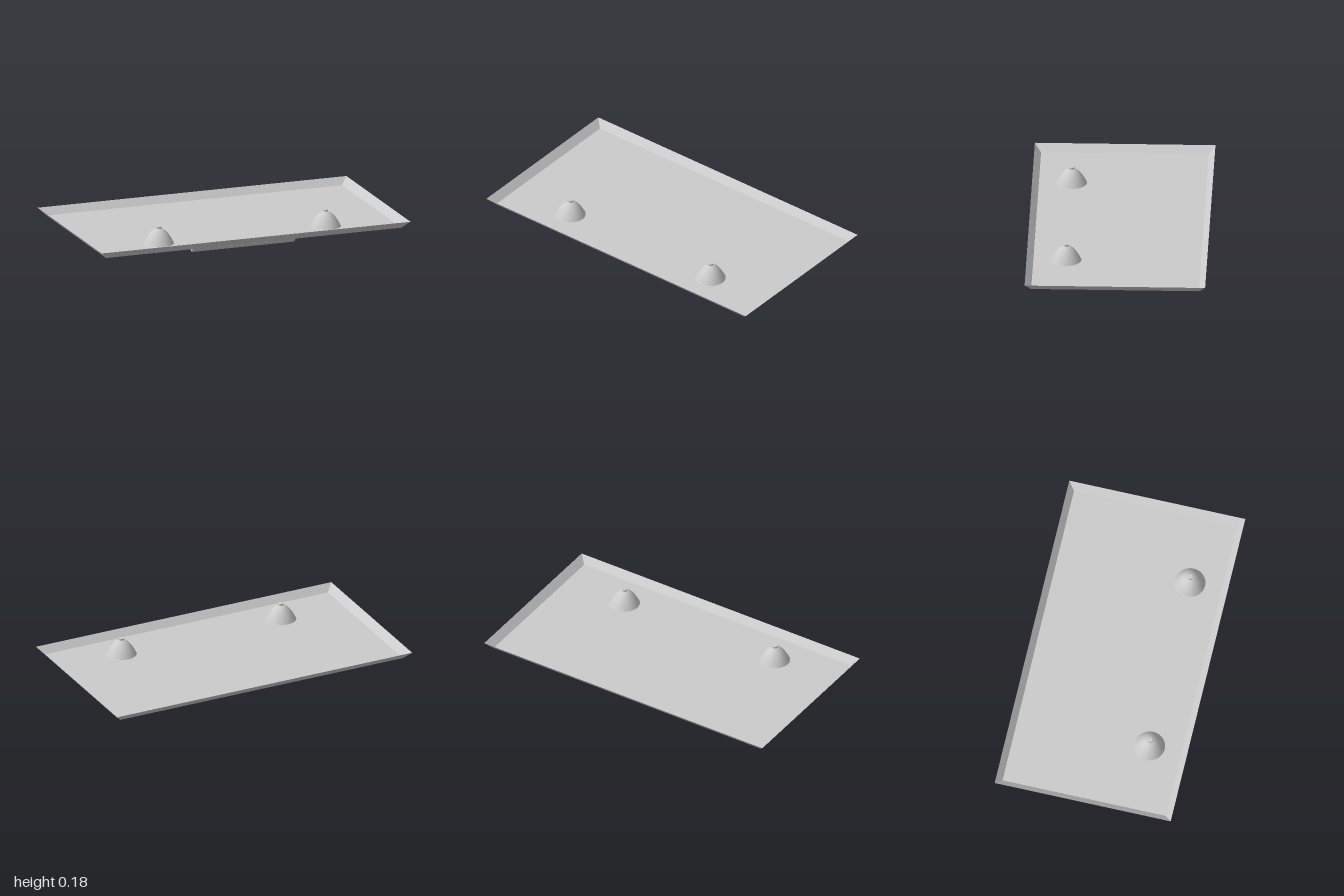
import * as THREE from 'three';

const FLOOR = 0.073, RIM = 0.116;

function addMesh(parent, name, geometry, side = THREE.FrontSide) {
  const material = new THREE.MeshStandardMaterial({ color: 0xcccccc, side });
  const mesh = new THREE.Mesh(geometry, material);
  mesh.name = name;
  parent.add(mesh);
  return mesh;
}

const lathe = (points, segments) =>
  new THREE.LatheGeometry(points.map(([r, y]) => new THREE.Vector2(r, y)), segments);

// Shallow open tray: flat floor and four walls leaning outwards
function trayGeometry() {
  const ring = (x, y, z) => [-x, y, z, x, y, z, x, y, -z, -x, y, -z];
  const index = [0, 1, 2, 0, 2, 3];
  for (let i = 0; i < 4; i++) {
    const j = (i + 1) % 4;
    index.push(i, j + 4, j, i, i + 4, j + 4);
  }
  const indexed = new THREE.BufferGeometry();
  indexed.setAttribute('position', new THREE.Float32BufferAttribute(
    [...ring(0.957, FLOOR, 0.508), ...ring(1, RIM, 0.547)], 3));
  indexed.setIndex(index);
  const geometry = indexed.toNonIndexed();
  geometry.computeVertexNormals();
  return geometry;
}

export function createModel() {
  const model = new THREE.Group();
  model.name = 'controlTray';
  addMesh(model, 'tray', trayGeometry(), THREE.DoubleSide);

  // Pair of domes, each with a small nub on top
  const domeProfile = [[0.094, 0]];
  for (let i = 0; i <= 12; i++) {
    const r = 0.092 * Math.cos((i / 12) * Math.PI / 2);
    domeProfile.push([r, 0.002 + 0.095 * (1 - (r / 0.092) ** 2)]);
  }
  for (const side of [-1, 1]) {
    const dome = new THREE.Group();
    dome.name = side > 0 ? 'leftDome' : 'rightDome';
    dome.position.set(side * 0.54, FLOOR, 0.31);
    addMesh(dome, 'domeShell', lathe(domeProfile, 40), THREE.DoubleSide);
    const nub = addMesh(dome, 'domeNub', new THREE.CylinderGeometry(0.016, 0.016, 0.016, 20));
    nub.position.y = 0.097;
    model.add(dome);
  }

  // Triangular control housing hanging below the floor
  const section = new THREE.Shape([[-0.222, FLOOR], [-0.325, 0], [-0.382, FLOOR]]
    .map(([x, y]) => new THREE.Vector2(x, y)));
  const wedge = new THREE.ExtrudeGeometry(section, { depth: 0.666, bevelEnabled: false });
  wedge.translate(0, 0, -0.333);
  wedge.rotateY(Math.PI / 2);
  addMesh(model, 'controlHousing', wedge);

  // Row of round buttons square to the front slope
  const normal = new THREE.Vector3(0, -0.057, 0.073).normalize();
  const buttonProfile = [[0.02, -0.004], [0.02, 0.02], [0.0185, 0.023], [0.013, 0.025], [0, 0.026]];
  for (let i = 0; i < 5; i++) {
    const button = addMesh(model, `button${i + 1}`, lathe(buttonProfile, 24));
    button.position.set(-0.003 + (i - 2) * 0.0765, 0.044, 0.359);
    button.quaternion.setFromUnitVectors(new THREE.Vector3(0, 1, 0), normal);
  }
  return model;
}
